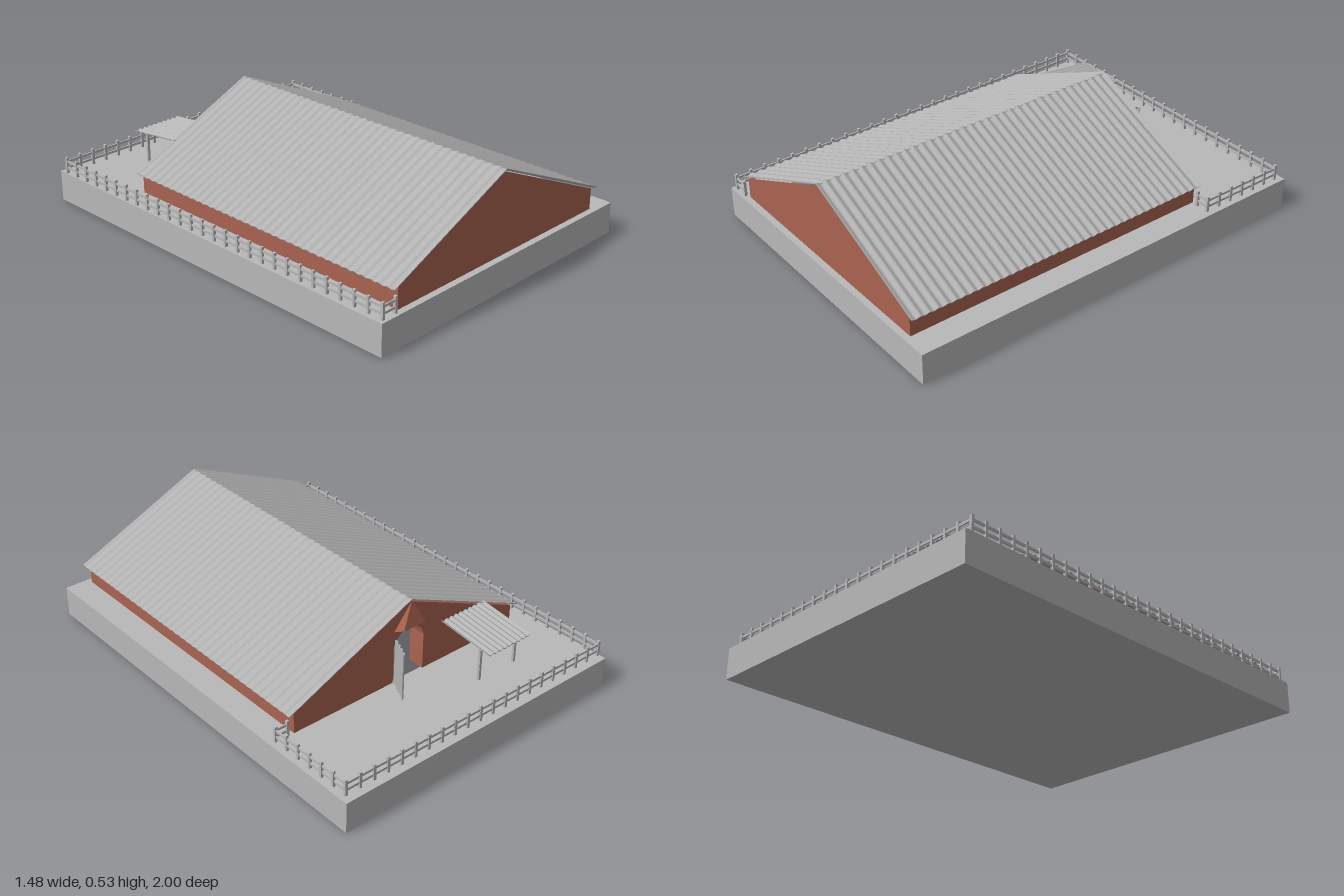
import * as THREE from 'three';

const concrete = new THREE.MeshStandardMaterial({ color: 0xb8b8b8, name: 'grey' });
const brick = new THREE.MeshStandardMaterial({ color: 0xaa6350, name: 'brick red' });
const metal = new THREE.MeshStandardMaterial({ color: 0xb4b4b4, side: THREE.DoubleSide, name: 'sheet metal' });
const hoodRed = new THREE.MeshStandardMaterial({ color: 0xaa6350, side: THREE.DoubleSide, name: 'hood red' });

const GROUND = 0.145;
const V = (x, y, z) => new THREE.Vector3(x, y, z);

function add(parent, name, geometry, material, x = 0, y = 0, z = 0) {
  const mesh = new THREE.Mesh(geometry, material);
  mesh.name = name;
  mesh.position.set(x, y, z);
  parent.add(mesh);
  return mesh;
}

function polygon(points) {
  return new THREE.Shape(points.map(([x, y]) => new THREE.Vector2(x, y)));
}

// Wavy sheet: starts at origin, runs along dir, its top faces normal
function corrugated(width, length, waves, amp, thick, origin, dir, normal) {
  const steps = waves * 6;
  const top = [], bottom = [];
  for (let i = 0; i <= steps; i++) {
    const x = -width / 2 + (width * i) / steps;
    const y = amp * (Math.cos((i / 6) * Math.PI * 2) - 1);
    top.push([x, y]);
    bottom.unshift([x, y - thick]);
  }
  const geometry = new THREE.ExtrudeGeometry(polygon([...top, ...bottom]), { depth: length, bevelEnabled: false });
  const side = V(0, 0, 0).crossVectors(normal, dir);
  return geometry.applyMatrix4(new THREE.Matrix4().makeBasis(side, normal, dir).setPosition(origin));
}

// Posts and two rails along a list of ground points
function buildFence(points) {
  const fence = new THREE.Group();
  fence.name = 'fence';
  const post = new THREE.BoxGeometry(0.012, 0.075, 0.012);
  points.slice(1).forEach(([x1, z1], k) => {
    const [x0, z0] = points[k];
    const length = Math.hypot(x1 - x0, z1 - z0);
    const count = Math.max(1, Math.round(length / 0.072));
    for (let i = k ? 1 : 0; i <= count; i++) {
      const t = i / count;
      add(fence, 'fencePost', post, concrete, x0 + (x1 - x0) * t, GROUND + 0.0375, z0 + (z1 - z0) * t);
    }
    for (const y of [0.171, 0.201]) {
      const rail = add(fence, 'fenceRail', new THREE.BoxGeometry(0.006, 0.011, length), concrete, (x0 + x1) / 2, y, (z0 + z1) / 2);
      rail.rotation.y = Math.atan2(x1 - x0, z1 - z0);
    }
  });
  return fence;
}

export function createModel() {
  const model = new THREE.Group();
  model.name = 'barn';

  // Base slab, with its top left open under the barn
  const slab = new THREE.BoxGeometry(1.48, GROUND, 2);
  const index = Array.from(slab.index.array);
  slab.setIndex(index.filter((_, i) => i < 12 || i >= 18));
  slab.clearGroups();
  add(model, 'baseSlab', slab, concrete, 0, GROUND / 2, 0);
  const yard = polygon([[-0.74, -1], [0.74, -1], [0.74, 1], [-0.74, 1]]);
  yard.holes.push(polygon([[-0.61, -0.96], [-0.61, 0.53], [0.61, 0.53], [0.61, -0.96]]));
  add(model, 'yard', new THREE.ShapeGeometry(yard).rotateX(-Math.PI / 2), concrete, 0, GROUND, 0);

  // Walls: plain front gable, long sides, back gable with an arched doorway
  const W = 0.62, EAVE = 0.242, PEAK = 0.517, BACK = -0.54, FRONT = 0.97;
  const gable = [[W, GROUND], [W, EAVE], [0, PEAK], [-W, EAVE], [-W, GROUND]];
  add(model, 'frontWall', new THREE.ShapeGeometry(polygon(gable)), brick, 0, 0, FRONT);
  for (const s of [-1, 1]) {
    const wall = add(model, 'sideWall', new THREE.PlaneGeometry(FRONT - BACK, EAVE - GROUND), brick,
      s * W, (EAVE + GROUND) / 2, (FRONT + BACK) / 2);
    wall.rotation.y = s * Math.PI / 2;
  }
  const arch = [[-0.085, GROUND]];
  for (let i = 0; i <= 6; i++) {
    const a = Math.PI * (1 - i / 6);
    arch.push([0.085 * Math.cos(a), 0.32 + 0.068 * Math.sin(a)]);
  }
  arch.push([0.085, GROUND]);
  add(model, 'backWall', new THREE.ExtrudeGeometry(polygon([...gable, ...arch]), { depth: 0.08, bevelEnabled: false }),
    brick, 0, 0, BACK);

  // Faceted hood above the doorway
  const rim = [V(0.085, 0.4, -0.54), V(0.06, 0.41, -0.573), V(-0.06, 0.41, -0.573), V(-0.085, 0.4, -0.54)];
  const apex = V(0, 0.522, -0.548);
  const corners = [];
  for (let i = 0; i < 3; i++) corners.push(rim[i], rim[i + 1], apex);
  corners.push(rim[0], rim[2], rim[1], rim[0], rim[3], rim[2]);
  const hood = new THREE.BufferGeometry().setFromPoints(corners);
  hood.computeVertexNormals();
  add(model, 'doorHood', hood, hoodRed);

  // Corrugated roof, one sheet per slope
  const run = 0.65, drop = 0.287, slope = Math.hypot(run, drop);
  for (const s of [-1, 1]) {
    add(model, 'roofSheet', corrugated(1.53, slope, 36, 0.004, 0.004, V(0, 0.532, 0.215),
      V(s * run / slope, -drop / slope, 0), V(s * drop / slope, run / slope, 0)), metal);
  }

  // Open corrugated door
  const along = V(0.05, 0, -0.105).normalize();
  add(model, 'openDoor', corrugated(0.116, 0.225, 4, 0.004, 0.004, V(0.115, GROUND, -0.603),
    V(0, 1, 0), V(-along.z, 0, along.x)), metal);

  // Lean-to shelter on two posts
  const fall = V(0, -0.11, -1).normalize();
  add(model, 'shelterRoof', corrugated(0.25, 0.283, 9, 0.004, 0.004, V(-0.315, 0.342, -0.54),
    fall, V(0, -fall.z, fall.y)), metal);
  for (const x of [-0.42, -0.21]) {
    add(model, 'shelterPost', new THREE.BoxGeometry(0.012, 0.165, 0.012), concrete, x, GROUND + 0.0825, -0.755);
  }

  // Fence round the yard and along the left-hand edge seen from the front
  model.add(buildFence([[0.65, -0.535], [0.71, -0.535], [0.71, -0.96], [-0.73, -0.96], [-0.715, 0.98], [-0.645, 0.98]]));
  return model;
}
